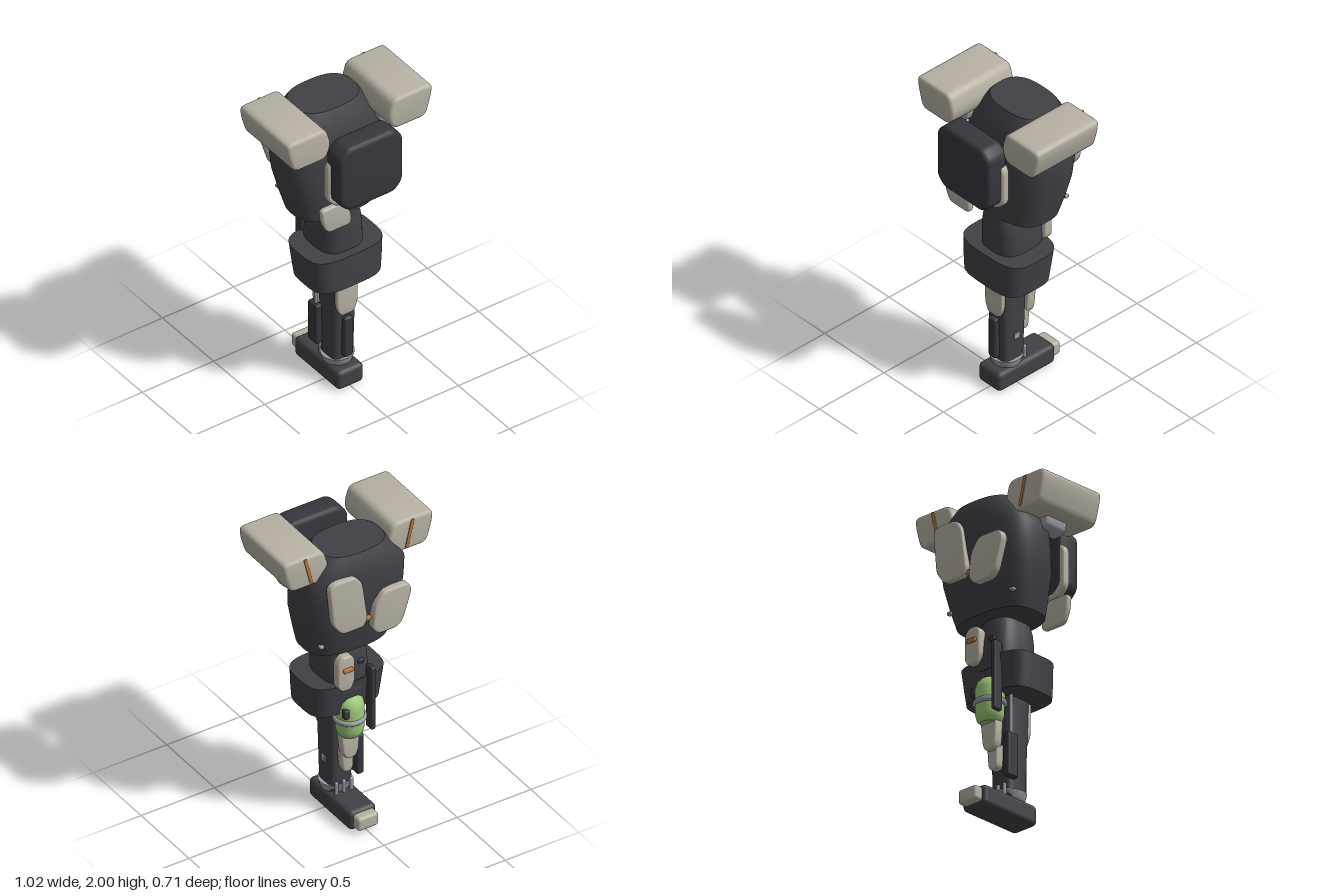
import * as THREE from 'three';
import { toCreasedNormals } from 'three/addons/utils/BufferGeometryUtils.js';
import { RoundedBoxGeometry } from 'three/addons/geometries/RoundedBoxGeometry.js';

const material = (name, color) => {
  const m = new THREE.MeshStandardMaterial({ color });
  m.name = name;
  return m;
};

export function createModel() {
  const dark = material('charcoal', 0x414046);
  const black = material('dark chest', 0x37363d);
  const tan = material('warm grey armour', 0xb8b2a5);
  const grey = material('metal grey', 0x989da3);
  const green = material('green', 0x9cc777);
  const orange = material('orange', 0xb8763f);
  const model = new THREE.Group();

  const add = (name, geometry, mat, x = 0, y = 0, z = 0) => {
    const mesh = new THREE.Mesh(geometry, mat);
    mesh.name = name;
    mesh.position.set(x, y, z);
    model.add(mesh);
    return mesh;
  };

  // Rounded box from its extents
  const box = (name, mat, x0, x1, y0, y1, z0, z1, r = 0.01) =>
    add(name, new RoundedBoxGeometry(x1 - x0, y1 - y0, z1 - z0, 3, r), mat,
      (x0 + x1) / 2, (y0 + y1) / 2, (z0 + z1) / 2);

  // Superellipse cross-sections [y, half width, front z, back z], capped
  const loft = (name, mat, rings, power, segments = 64) => {
    const point = (i, j) => {
      const [y, w, front, back] = rings[i];
      const a = (j / segments) * Math.PI * 2;
      const f = v => Math.sign(v) * Math.abs(v) ** (2 / power);
      return [w * f(Math.cos(a)), y, (front + back) / 2 + (front - back) / 2 * f(Math.sin(a))];
    };
    const center = i => [0, rings[i][0], (rings[i][2] + rings[i][3]) / 2];
    const last = rings.length - 1;
    const p = [];
    for (let j = 0; j < segments; j++) {
      for (let i = 0; i < last; i++) {
        const a = point(i, j), b = point(i, j + 1), c = point(i + 1, j), d = point(i + 1, j + 1);
        p.push(...a, ...c, ...b, ...b, ...c, ...d);
      }
      p.push(...center(0), ...point(0, j), ...point(0, j + 1));
      p.push(...center(last), ...point(last, j + 1), ...point(last, j));
    }
    const g = new THREE.BufferGeometry();
    g.setAttribute('position', new THREE.Float32BufferAttribute(p, 3));
    return add(name, toCreasedNormals(g, 0.7), mat);
  };

  // Bevelled plate from an outline in x and y, with rounded corners
  const plate = (name, mat, outline, z0, z1, bevel = 0.012, round = 0.03) => {
    const v = outline.map(q => new THREE.Vector2(...q));
    const shape = new THREE.Shape();
    v.forEach((c, i) => {
      const step = q => {
        const d = q.clone().sub(c);
        return c.clone().addScaledVector(d, Math.min(round / d.length(), 0.45));
      };
      const a = step(v[(i + v.length - 1) % v.length]), b = step(v[(i + 1) % v.length]);
      if (i) shape.lineTo(a.x, a.y); else shape.moveTo(a.x, a.y);
      shape.quadraticCurveTo(c.x, c.y, b.x, b.y);
    });
    shape.closePath();
    const g = new THREE.ExtrudeGeometry(shape, {
      depth: z1 - z0 - 2 * bevel, bevelEnabled: true, bevelThickness: bevel,
      bevelSize: bevel, bevelOffset: -bevel, bevelSegments: 3, curveSegments: 5,
    });
    return add(name, toCreasedNormals(g, 0.6), mat, 0, 0, z0 + bevel);
  };

  // Body core
  loft('torso', dark, [
    [1.23, 0.27, 0.125, -0.24], [1.36, 0.303, 0.13, -0.278], [1.5, 0.335, 0.13, -0.305],
    [1.62, 0.343, 0.118, -0.318], [1.74, 0.343, 0.097, -0.324], [1.82, 0.31, 0.075, -0.318],
    [1.88, 0.26, 0.05, -0.303], [1.93, 0.21, 0.025, -0.28],
  ], 2.7);
  loft('waist', dark, [
    [0.9, 0.145, 0.13, -0.19], [1.0, 0.145, 0.13, -0.19], [1.1, 0.14, 0.132, -0.18],
    [1.18, 0.125, 0.13, -0.16], [1.25, 0.1, 0.12, -0.135],
  ], 3);
  loft('hip', dark, [
    [0.755, 0.236, 0.19, -0.168], [0.85, 0.246, 0.189, -0.18], [0.97, 0.256, 0.184, -0.195],
  ], 3.6);
  loft('leg', dark, [
    [0.14, 0.075, 0.09, -0.07], [0.45, 0.08, 0.1, -0.08], [0.8, 0.09, 0.108, -0.088],
  ], 4);

  // Chest unit and its armour
  const chamfered = (w, y0, y1, c) => [
    [-w + c, y0], [w - c, y0], [w, y0 + c], [w, y1 - c],
    [w - c, y1], [-w + c, y1], [-w, y1 - c], [-w, y0 + c],
  ];
  plate('chestBlock', black, chamfered(0.22, 1.45, 1.89, 0.06), 0.205, 0.355, 0.025);
  plate('chestFrame', tan, chamfered(0.24, 1.435, 1.79, 0.06), 0.21, 0.26);
  plate('bellyPlate', tan, [[-0.275, 1.43], [-0.11, 1.43], [-0.065, 1.33], [-0.065, 1.255],
    [-0.23, 1.255], [-0.265, 1.33]], 0.205, 0.245);

  // Shoulder pads with brackets and strips
  for (const s of [-1, 1]) {
    const side = s > 0 ? 'left' : 'right';
    const mirror = pts => pts.map(([x, y]) => [x * s, y]);
    plate(side + 'ShoulderPad', tan, mirror([[0.235, 2], [0.51, 2], [0.505, 1.93], [0.465, 1.79],
      [0.235, 1.79], [0.2, 1.88]]), -0.24, 0.24, 0.02, 0.045);
    plate(side + 'ShoulderBracket', grey, mirror([[0.24, 1.8], [0.38, 1.8], [0.375, 1.745],
      [0.35, 1.722], [0.28, 1.722], [0.25, 1.745]]), -0.075, 0.09, 0.008, 0.015);
    plate(side + 'ShoulderStrip', orange, mirror([[0.355, 1.99], [0.377, 1.99], [0.334, 1.81],
      [0.312, 1.81]]), -0.246, -0.234, 0.003, 0.006);
    box(side + 'TorsoStud', grey, s * 0.245 - 0.015, s * 0.245 + 0.015, 1.31, 1.33, -0.235, -0.205, 0.005);
  }

  // Back armour
  plate('upperBackPlate', tan, [[0.265, 1.79], [0.23, 1.82], [0.09, 1.82], [0.04, 1.76],
    [0.005, 1.5], [0.03, 1.45], [0.18, 1.45], [0.24, 1.53]], -0.345, -0.295);
  plate('lowerBackPlate', tan, [[-0.1, 1.65], [-0.265, 1.65], [-0.29, 1.6], [-0.23, 1.41],
    [-0.19, 1.37], [-0.06, 1.37], [-0.02, 1.42], [-0.04, 1.57]], -0.355, -0.3);
  box('backClip', orange, -0.035, 0.045, 1.465, 1.49, -0.325, -0.29, 0.006);
  plate('waistPlate', tan, [[0.015, 1.15], [0.04, 1.18], [0.1, 1.18], [0.13, 1.14], [0.13, 0.98],
    [0.1, 0.945], [0.04, 0.945], [0.015, 1]], -0.225, -0.165, 0.01, 0.02);
  box('waistClip', orange, 0.035, 0.1, 1.08, 1.105, -0.242, -0.22, 0.006);
  box('waistSocket', black, -0.07, -0.03, 1.07, 1.1, -0.19, -0.165, 0.006);
  box('hipStrut', black, -0.12, -0.088, 0.61, 1.045, -0.235, -0.17, 0.012);

  // Green tank with a ring
  const tank = [[0, 0.575], [0.055, 0.575], [0.075, 0.595], [0.084, 0.63], [0.086, 0.78],
    [0.075, 0.825], [0.05, 0.85], [0, 0.855]].map(q => new THREE.Vector2(...q));
  add('tank', toCreasedNormals(new THREE.LatheGeometry(tank, 40), 0.7), green, 0.003, 0, -0.147);
  const ring = add('tankRing', new THREE.TorusGeometry(0.083, 0.018, 12, 40), grey, 0.003, 0.7, -0.145);
  ring.rotation.x = Math.PI / 2;
  box('tankLatch', black, 0.05, 0.085, 0.74, 0.8, -0.225, -0.185, 0.008);

  // Lower leg fittings
  plate('kneePlate', tan, [[-0.075, 0.77], [0.075, 0.77], [0.07, 0.56], [0.045, 0.5],
    [-0.045, 0.5], [-0.07, 0.56]], 0.085, 0.116, 0.008, 0.02);
  box('shinBar', black, -0.03, 0.03, 0.2, 0.48, 0.08, 0.13, 0.015);
  box('calfSidePanel', black, -0.116, -0.07, 0.235, 0.51, -0.118, -0.03, 0.012);
  plate('upperCalfPlate', tan, [[-0.06, 0.59], [0.065, 0.59], [0.05, 0.45], [0.03, 0.41],
    [-0.03, 0.41], [-0.05, 0.45]], -0.162, -0.1, 0.01, 0.02);
  plate('lowerCalfPlate', tan, [[-0.04, 0.45], [0.045, 0.45], [0.035, 0.32], [0.02, 0.295],
    [-0.02, 0.295], [-0.035, 0.32]], -0.13, -0.075, 0.01, 0.015);
  box('legStud', grey, 0.06, 0.086, 0.32, 0.36, -0.015, 0.028, 0.004);
  add('sideRod', new THREE.CylinderGeometry(0.011, 0.011, 0.3, 16), grey, -0.09, 0.62, -0.07);

  // Ankle cup, heel pipes and foot
  const cup = [[0, 0.075], [0.045, 0.085], [0.075, 0.11], [0.09, 0.14], [0.1, 0.178], [0, 0.178]]
    .map(q => new THREE.Vector2(...q));
  add('ankleCup', toCreasedNormals(new THREE.LatheGeometry(cup, 40), 0.7), grey, 0, 0, 0.012);
  for (const x of [-0.05, 0, 0.05]) {
    add('heelPipe', new THREE.CapsuleGeometry(0.012, 0.09, 6, 12), grey, x, 0.155, -0.083);
  }
  box('foot', dark, -0.092, 0.092, 0, 0.13, -0.288, 0.152, 0.03);
  box('footTip', tan, -0.07, 0.07, 0.022, 0.112, -0.345, -0.27, 0.02);
  return model;
}
